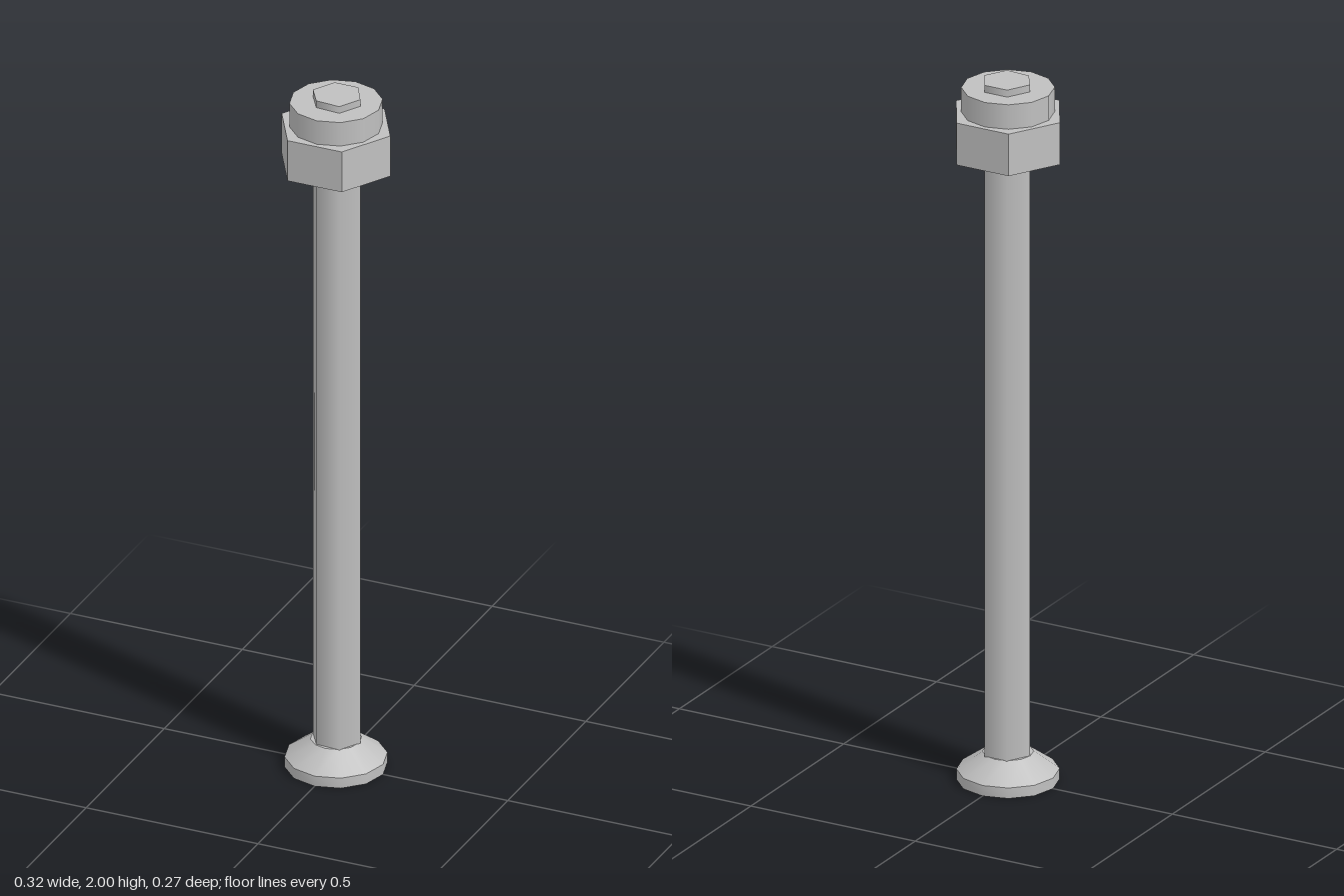
import * as THREE from 'three';
import { toCreasedNormals } from 'three/addons/utils/BufferGeometryUtils.js';

export function createModel() {
  const model = new THREE.Group();
  model.name = 'boltWithNut';
  const steel = new THREE.MeshStandardMaterial({ color: 0xc0c0c0 });
  steel.name = 'steel grey';

  const add = (name, geometry) => {
    const mesh = new THREE.Mesh(geometry, steel);
    mesh.name = name;
    model.add(mesh);
    return mesh;
  };
  // upright prism or cone between two heights, with a corner on +x
  const prism = (rTop, rBottom, y0, y1, sides) =>
    new THREE.CylinderGeometry(rTop, rBottom, y1 - y0, sides)
      .rotateY(Math.PI / 2)
      .translate(0, (y0 + y1) / 2, 0);

  // six-sided shaft, smooth shaded and slightly uneven at one corner
  const shaft = prism(0.069, 0.069, 0.06, 2, 6).translate(0.002, 0, 0);
  const p = shaft.attributes.position;
  for (let i = 0; i < p.count; i++) {
    if (p.getZ(i) < -0.03) p.setZ(i, -0.062);
    if (p.getZ(i) > 0.03) p.setZ(i, p.getX(i) < 0 ? 0.055 : 0.06);
  }
  add('shaft', shaft);

  // hexagonal nut with a round locking collar
  add('nut', toCreasedNormals(prism(0.158, 0.158, 1.79, 1.91, 6), 0.6));
  add('nutCollar', prism(0.124, 0.124, 1.91, 1.98, 12));

  // head: rim plate with a cross-shaped driver recess, and the taper above it
  const rim = new THREE.Shape(Array.from({ length: 12 }, (_, i) => {
    const a = (i * Math.PI) / 6;
    return new THREE.Vector2(0.137 * Math.cos(a), 0.137 * Math.sin(a));
  }));
  const L = 0.095, w = 0.028;
  const cross = [];
  for (let i = 0; i < 4; i++) {
    for (const [x, y] of [[L, -w], [L, w], [w, w]]) {
      cross.push(new THREE.Vector2(x, y).rotateAround(new THREE.Vector2(), (i * Math.PI) / 2));
    }
  }
  rim.holes.push(new THREE.Path(cross));
  const plate = new THREE.ExtrudeGeometry(rim, { depth: 0.03, bevelEnabled: false }).rotateX(-Math.PI / 2);
  add('headRim', toCreasedNormals(plate, 0.6));
  add('headTaper', prism(0.068, 0.137, 0.03, 0.08, 12));

  return model;
}
